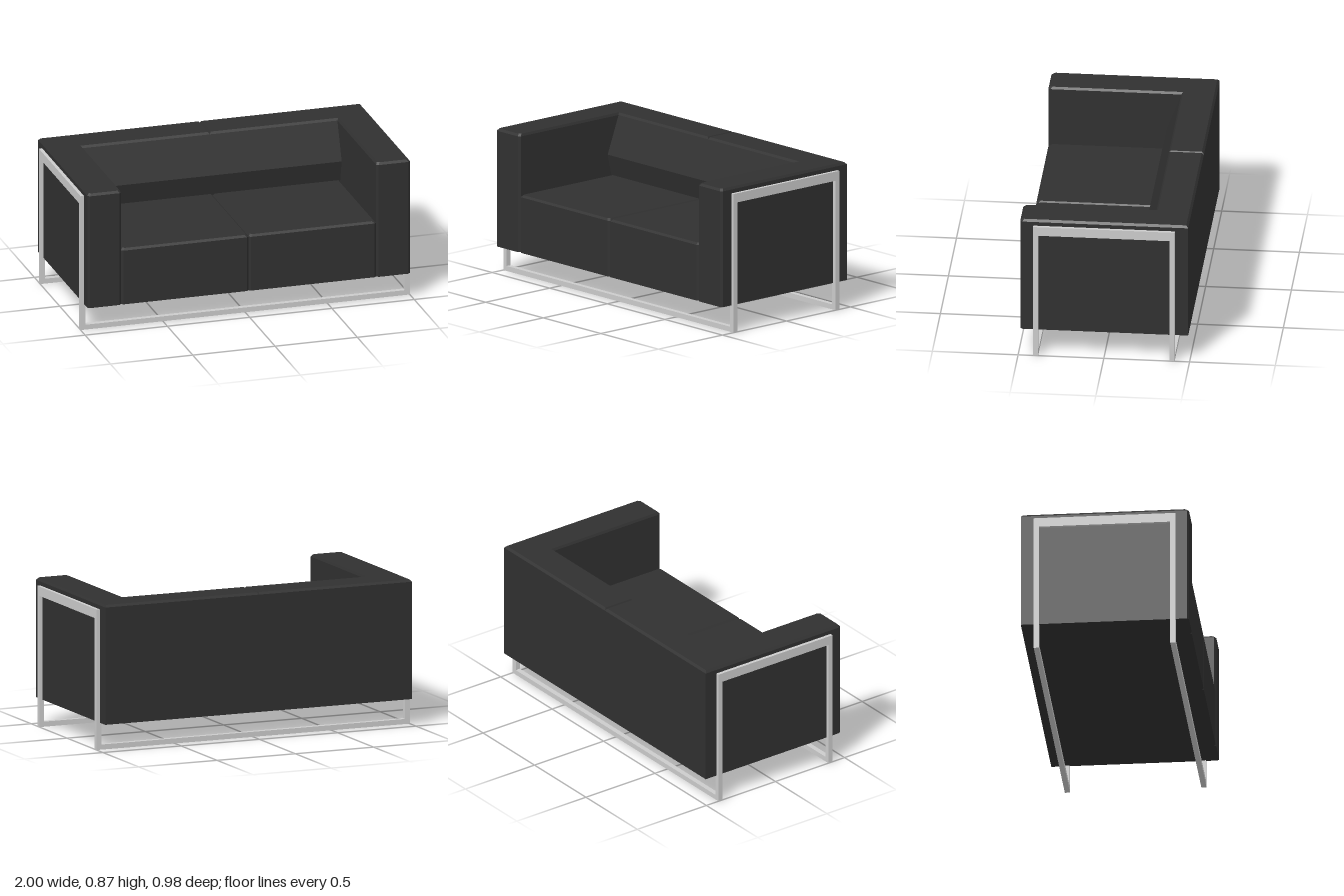
import * as THREE from 'three';

const leather = new THREE.MeshStandardMaterial({ color: 0x303030, flatShading: true });
const metal = new THREE.MeshStandardMaterial({ color: 0xcccccc });

// Stacks plan outlines ({ y, pts: [[x, z], ...] }, bottom to top) into a closed solid; side = -1 mirrors it in x
function stack(rings, side) {
  const pos = [];
  const tri = (a, b, c, flip) => pos.push(...a, ...(flip ? c : b), ...(flip ? b : c));
  const loops = rings.map(({ y, pts }) => pts.map(([x, z]) => [side * x, y, z]));
  const n = loops[0].length;
  for (let r = 0; r < loops.length - 1; r++) {
    for (let i = 0; i < n; i++) {
      const j = (i + 1) % n, lo = loops[r], hi = loops[r + 1];
      tri(lo[i], hi[i], hi[j], side < 0);
      tri(lo[i], hi[j], lo[j], side < 0);
    }
  }
  // Caps: bottom faces down, top faces up
  [[loops[0], -1], [loops[loops.length - 1], 1]].forEach(([loop, up]) => {
    const flat = loop.map(([x, , z]) => new THREE.Vector2(x, z));
    for (const [a, b, c] of THREE.ShapeUtils.triangulateShape(flat, [])) {
      const A = flat[a], B = flat[b], C = flat[c];
      const area = (B.x - A.x) * (C.y - A.y) - (B.y - A.y) * (C.x - A.x);
      tri(loop[a], loop[b], loop[c], area * up > 0);
    }
  });
  const geo = new THREE.BufferGeometry();
  geo.setAttribute('position', new THREE.Float32BufferAttribute(pos, 3));
  geo.computeVertexNormals();
  return geo;
}

// L-shaped plan of one arm with its half of the back; zi = inner face of the back, d = inset of the edges
function shellPlan(y, zi, d = 0) {
  const c = 0.012, front = 0.49 - d, out = 0.98 - d, inn = 0.775 + d * 0.7;
  return { y, pts: [
    [d * 0.7, -0.49 + d], [out, -0.49 + d], [out, front - c], [out - c, front],
    [inn + c, front], [inn, front - c], [inn, zi], [d * 0.7, zi],
  ] };
}

// Plan of one seat cushion with chamfered front corners
function seatPlan(y, d = 0) {
  const c = 0.012, front = 0.488 - d, a = d, b = 0.775 - d;
  return { y, pts: [
    [a, -0.235], [b, -0.235], [b, front - c], [b - c, front], [a + c, front], [a, front - c],
  ] };
}

export function createModel() {
  const group = new THREE.Group();
  const add = (parent, name, geo, mat) => {
    const mesh = new THREE.Mesh(geo, mat);
    mesh.name = name;
    parent.add(mesh);
    return mesh;
  };

  // Upholstery, one half per side
  const shell = [
    shellPlan(0.16, -0.235), shellPlan(0.5, -0.23), shellPlan(0.63, -0.2),
    shellPlan(0.853, -0.285), shellPlan(0.866, -0.295, 0.012),
  ];
  const seat = [seatPlan(0.16), seatPlan(0.493), seatPlan(0.505, 0.012)];
  for (const [side, label] of [[1, 'left'], [-1, 'right']]) {
    add(group, label + 'ArmAndBack', stack(shell, side), leather);
    add(group, label + 'SeatCushion', stack(seat, side), leather);
  }

  // Metal frame: side hoops joined by two floor rails
  const frame = new THREE.Group();
  frame.name = 'metalFrame';
  group.add(frame);
  const bar = (name, w, h, d, x, y, z) =>
    add(frame, name, new THREE.BoxGeometry(w, h, d), metal).position.set(x, y, z);
  const t = 0.03, top = 0.83, topH = 0.055;
  for (const z of [0.398, -0.398]) {
    bar(z > 0 ? 'frontFloorRail' : 'backFloorRail', 2, t, t, 0, t / 2, z);
    for (const x of [1 - t / 2, t / 2 - 1]) {
      bar('framePost', t, top - topH - t, t, x, (top - topH + t) / 2, z);
    }
  }
  for (const x of [1 - t / 2, t / 2 - 1]) {
    bar('frameTopBar', t, topH, 0.796 + t, x, top - topH / 2, 0);
  }
  return group;
}
